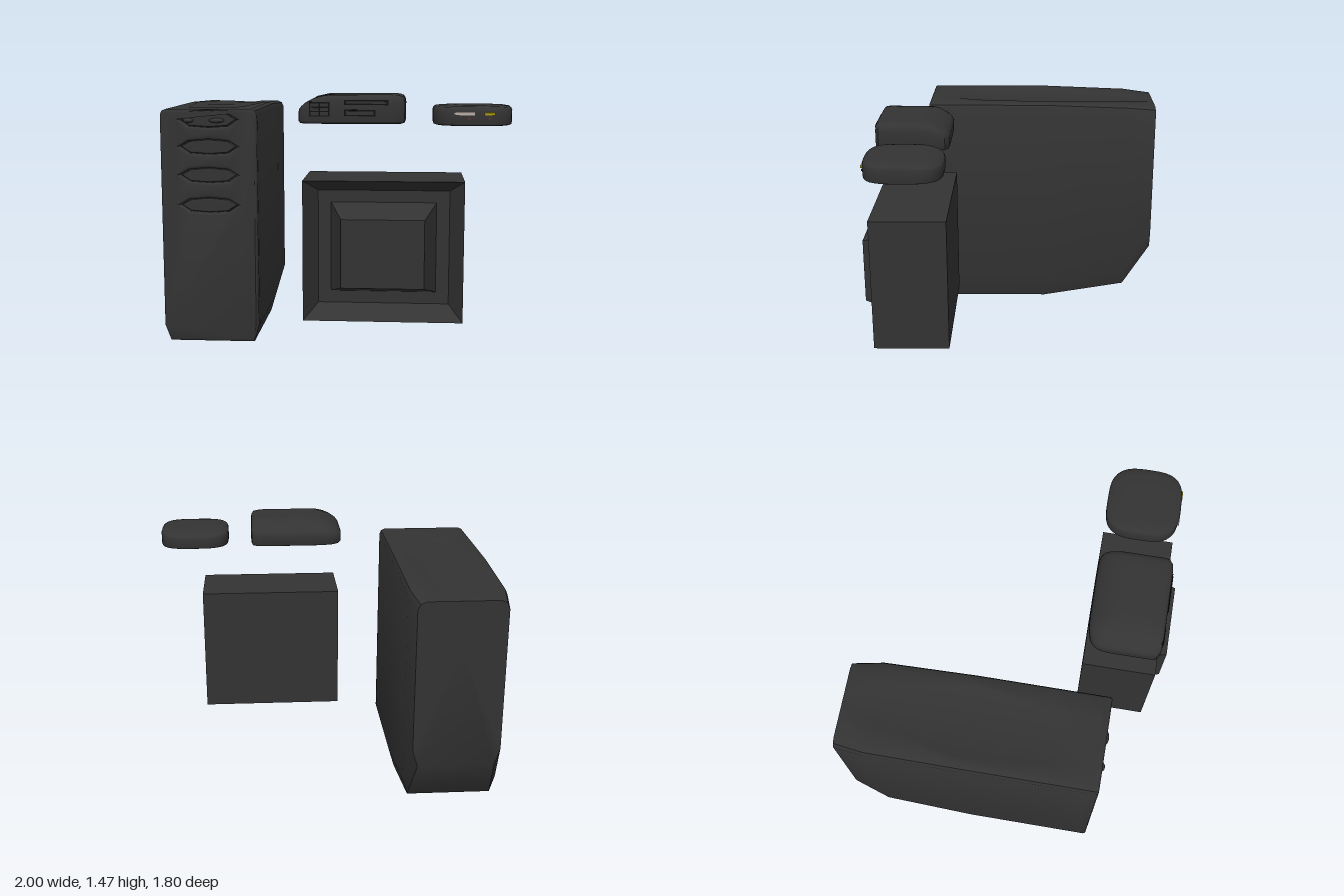
import * as THREE from 'three';
import { toCreasedNormals } from 'three/addons/utils/BufferGeometryUtils.js';

const mat = (color) => new THREE.MeshStandardMaterial({ color });
const dark = mat(0x333333), black = mat(0x111111), silver = mat(0xb5aaa5), yellow = mat(0xa89a10), red = mat(0x5a3030);

function add(parent, name, geometry, material, x = 0, y = 0, z = 0) {
  const mesh = new THREE.Mesh(geometry, material);
  mesh.name = name;
  mesh.position.set(x, y, z);
  parent.add(mesh);
  return mesh;
}

function box(parent, name, x0, x1, y0, y1, z0, z1, material) {
  add(parent, name, new THREE.BoxGeometry(x1 - x0, y1 - y0, z1 - z0), material,
    (x0 + x1) / 2, (y0 + y1) / 2, (z0 + z1) / 2);
}

// Skin closed rings of equal length, counterclockwise along the advance, with both ends capped
function loft(rings, crease) {
  const n = rings[0].length, pos = [];
  const tri = (...p) => p.forEach((v) => pos.push(...v));
  const centre = (r) => [0, 1, 2].map((k) => r.reduce((s, p) => s + p[k], 0) / n);
  const first = rings[0], last = rings[rings.length - 1];
  for (let j = 0; j < n; j++) {
    const k = (j + 1) % n;
    for (let i = 0; i < rings.length - 1; i++) {
      const a = rings[i], b = rings[i + 1];
      tri(a[j], a[k], b[k]);
      tri(a[j], b[k], b[j]);
    }
    tri(centre(first), first[k], first[j]);
    tri(centre(last), last[j], last[k]);
  }
  const g = new THREE.BufferGeometry();
  g.setAttribute('position', new THREE.Float32BufferAttribute(pos, 3));
  return toCreasedNormals(g, crease);
}

const toShape = (pts) => new THREE.Shape(pts.map(([x, y]) => new THREE.Vector2(x, y)));

// Half a tower section (right side, bottom to top) mirrored into a ring
function towerRing([z, w, y0, y1, r, d, dish]) {
  const half = [
    [w - 0.03, y0], [w, y0 + 0.1], [w, y1 - r], [w - r * 0.3, y1 - r * 0.3], [w - r, y1],
    [d, y1], [d - 0.04, y1 - dish],
  ];
  const mirrored = half.map(([x, y]) => [-x, y]).reverse();
  return [...half, [0, y1 - dish], ...mirrored].map(([x, y]) => [x, y, z]);
}

function makeTower() {
  const tower = new THREE.Group();
  tower.name = 'computerTower';
  tower.position.x = -0.718;

  // z, half width, bottom, top, corner, dish half width, dish depth
  const stations = [
    [-0.9, 0.25, 0.36, 1.34, 0.05, 0.05, 0],
    [-0.72, 0.275, 0.09, 1.357, 0.04, 0.13, 0.012],
    [-0.18, 0.28, 0, 1.375, 0.035, 0.21, 0.018],
    [0.3, 0.28, 0, 1.375, 0.035, 0.16, 0.014],
    [0.42, 0.28, 0, 1.375, 0.035, 0.14, 0],
    [0.54, 0.28, 0, 1.375, 0.035, 0.14, 0],
  ];
  add(tower, 'towerCase', loft(stations.map(towerRing), 0.7), dark);

  // Front panel with four lens-shaped vents
  const lens = (s, y = 0) => [[-0.18, 0], [-0.12, -0.04], [0, -0.048], [0.12, -0.04],
    [0.18, 0], [0.12, 0.034], [0, 0.045], [-0.12, 0.034]].map(([px, py]) => [px * s, py * s + y]);
  const vents = [1.315, 1.16, 0.995, 0.82];
  const panel = toShape([[-0.25, 0], [0.25, 0], [0.28, 0.1], [0.28, 1.34], [0.27, 1.365], [0.245, 1.375],
    [-0.245, 1.375], [-0.27, 1.365], [-0.28, 1.34], [-0.28, 0.1]]);
  vents.forEach((y) => panel.holes.push(new THREE.Path(lens(0.96, y).map(([a, b]) => new THREE.Vector2(a, b)))));
  const bevel = { depth: 0.03, bevelThickness: 0.015, bevelSize: 0.015, bevelOffset: -0.015, bevelSegments: 3 };
  const g = new THREE.ExtrudeGeometry(panel, bevel);
  // Lean the foot of the panel backwards
  const p = g.attributes.position;
  for (let i = 0; i < p.count; i++) {
    if (p.getY(i) < 0.1 && p.getZ(i) > 0.02) p.setZ(i, p.getZ(i) - 0.02 * (1 - p.getY(i) / 0.1));
  }
  add(tower, 'frontPanel', toCreasedNormals(g, 0.7), dark, 0, 0, 0.54);
  vents.forEach((y) => {
    const slat = new THREE.ExtrudeGeometry(toShape(lens(0.9)), { depth: 0.025, bevelThickness: 0.008, bevelSize: 0.008,
      bevelOffset: -0.008, bevelSegments: 2 });
    add(tower, 'ventInsert', slat, dark, 0, y, 0.54);
  });

  // Small latches in the top vent
  [[-0.115, 0.03], [0.05, 0.045]].forEach(([x, s]) => {
    add(tower, 'ventLatch', new THREE.SphereGeometry(1, 16, 10), dark, x, 1.31, 0.575).scale.set(s, 0.014, 0.024);
  });
  return tower;
}

// Boxy monitor: case, sunken bezel, then a raised screen block
function makeMonitor() {
  const ring = ([inset, z]) => {
    const x0 = -0.15 + inset, x1 = 0.74 - inset, y0 = 0.21 + inset * 0.95, y1 = 1 - inset * 0.93;
    return [[x0, y0, z], [x1, y0, z], [x1, y1, z], [x0, y1, z]];
  };
  const monitor = new THREE.Group();
  monitor.name = 'monitor';
  const steps = [[0, 0.39], [0, 0.83], [0.075, 0.68], [0.148, 0.68], [0.217, 0.9]];
  add(monitor, 'monitorCase', loft(steps.map(ring), 0.1), dark);
  return monitor;
}

// Superellipse pod: layers are [scale, height], drop lowers the top, power sets the corner squareness
function podGeometry(cx, cz, rx, rz, layers, drop, power) {
  const n = 64, low = layers[0][1], high = layers[layers.length - 1][1];
  return loft(layers.map(([s, y]) => Array.from({ length: n }, (_, i) => {
    const t = ((i + 0.5) / n) * Math.PI * 2, c = Math.cos(t), b = Math.sin(t), e = power(c, b);
    const k = s / Math.pow(Math.abs(c) ** e + Math.abs(b) ** e, 1 / e);
    const u = c * k, v = b * k;
    return [cx + rx * u, y - drop(u, v) * (y - low) / (high - low), cz - rz * v];
  })), 0.7);
}

function makeConsole() {
  const unit = new THREE.Group();
  unit.name = 'consoleBox';
  const layers = [[0.93, 1.312], [0.98, 1.318], [1, 1.335], [1, 1.425], [0.985, 1.448], [0.95, 1.46],
    [0.88, 1.467], [0.7, 1.469], [0.45, 1.469], [0.2, 1.469]];
  const drop = (u, v) => Math.min(0.09, 0.07 * Math.max(0, (-0.4 - u) / 0.6) ** 2
    + 0.07 * Math.max(0, (v - 0.25) / 0.75) ** 2);
  const power = (c, b) => (c < 0 && b > 0 ? 4.5 : 12);
  add(unit, 'consoleShell', podGeometry(0.12, 0.605, 0.295, 0.215, layers, drop, power), dark);

  // Drive slots
  [[0.08, 0.32, 1.415, 1.442], [0.08, 0.25, 1.355, 1.39]].forEach(([x0, x1, y0, y1]) => {
    box(unit, 'slotRim', x0, x1, y0, y1, 0.8, 0.822, black);
    box(unit, 'slotDoor', x0 + 0.01, x1 - 0.01, y0 + 0.008, y1 - 0.008, 0.8, 0.825, dark);
  });
  // Port grid, two columns by three rows
  box(unit, 'portPanel', -0.112, 0, 1.352, 1.432, 0.79, 0.82, black);
  for (let r = 0; r < 3; r++) {
    for (let c = 0; c < 2; c++) {
      const x = -0.104 + c * 0.052, y = 1.359 + r * 0.024;
      box(unit, 'port', x, x + 0.044, y, y + 0.017, 0.79, 0.823, dark);
    }
  }
  return unit;
}

function makePuck() {
  const puck = new THREE.Group();
  puck.name = 'roundedPuck';
  const layers = [[0.94, 1.304], [0.985, 1.308], [1, 1.32], [1, 1.385], [0.98, 1.397], [0.94, 1.404],
    [0.8, 1.409], [0.5, 1.412], [0.2, 1.412]];
  const drop = (u, v) => 0.02 * Math.max(0, v) ** 2;
  add(puck, 'puckShell', podGeometry(0.782, 0.603, 0.218, 0.218, layers, drop, () => 3.3), dark);

  // Front sockets and indicator lights
  box(puck, 'silverSocket', 0.673, 0.785, 1.363, 1.377, 0.79, 0.823, silver);
  box(puck, 'yellowSocket', 0.838, 0.895, 1.363, 1.377, 0.79, 0.823, yellow);
  [0.755, 0.865].forEach((x) => box(puck, 'indicator', x - 0.01, x + 0.01, 1.341, 1.349, 0.79, 0.823, red));
  return puck;
}

export function createModel() {
  const model = new THREE.Group();
  model.name = 'computerSet';
  model.add(makeTower(), makeMonitor(), makeConsole(), makePuck());
  return model;
}
